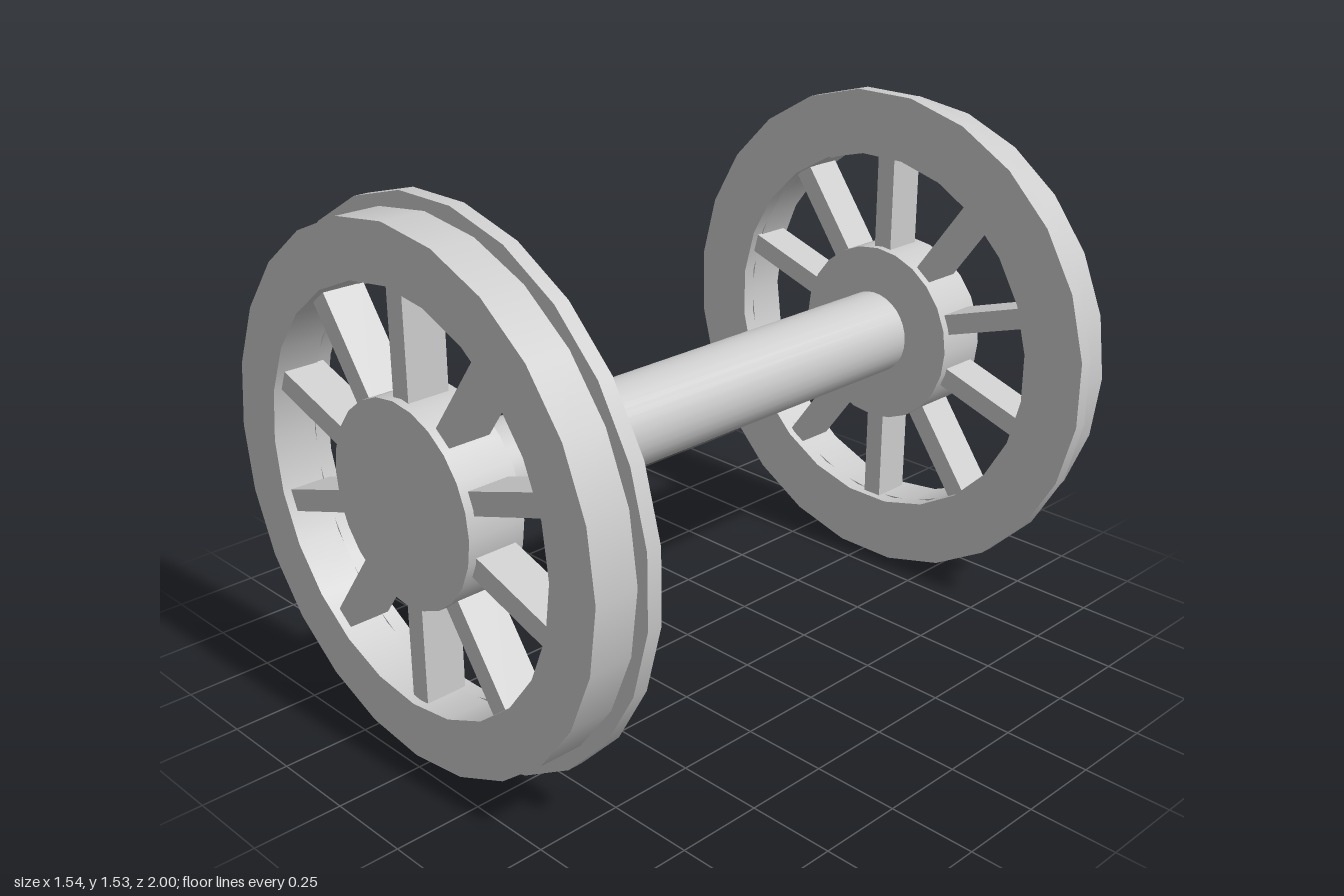
import * as THREE from 'three';
import { mergeGeometries } from 'three/addons/utils/BufferGeometryUtils.js';

const SIDES = 24;
const CENTRE_Y = 0.767;

// Turned solid about z from a closed [radius, z] profile, with sharp edges between its bands
function turned(profile, phase = 0) {
  const bands = profile.map((p, i) => {
    const q = profile[(i + 1) % profile.length];
    return new THREE.LatheGeometry(
      [new THREE.Vector2(...p), new THREE.Vector2(...q)], SIDES, phase);
  });
  return mergeGeometries(bands).rotateX(Math.PI / 2);
}

const ring = (inner, outer, z0, z1, phase) =>
  turned([[inner, z0], [outer, z0], [outer, z1], [inner, z1]], phase);

export function createModel() {
  const steel = new THREE.MeshStandardMaterial({ color: 0xcccccc });
  steel.name = 'steel grey';
  const model = new THREE.Group();
  model.name = 'wheelset';

  const add = (parent, name, geometry) => {
    const mesh = new THREE.Mesh(geometry, steel);
    mesh.name = name;
    parent.add(mesh);
    return mesh;
  };

  // Shared wheel parts, with the outer face at z = 1
  const tread = ring(0.574, 0.733, 0.873, 1);
  const flange = ring(0.574, 0.772, 0.83, 0.873, Math.PI / SIDES);
  const hub = new THREE.CylinderGeometry(0.28, 0.28, 0.17, SIDES)
    .rotateX(Math.PI / 2).translate(0, 0, 0.915);
  const spoke = new THREE.BoxGeometry(0.062, 0.33, 0.122).translate(0, 0.425, 0.915);

  // Front and back wheels, turned to face away from each other
  for (const [name, turn, x] of [['frontWheel', 0, -0.007], ['backWheel', Math.PI, 0.003]]) {
    const wheel = new THREE.Group();
    wheel.name = name;
    wheel.position.set(x, CENTRE_Y, 0);
    wheel.rotation.y = turn;
    add(wheel, 'tread', tread);
    add(wheel, 'flange', flange);
    add(wheel, 'hub', hub);
    for (let i = 0; i < 10; i++) {
      add(wheel, 'spoke', spoke).rotation.z = (i * Math.PI) / 5;
    }
    model.add(wheel);
  }

  // Axle joining the hubs
  const axle = add(model, 'axle', new THREE.CylinderGeometry(0.131, 0.131, 1.7, 32).rotateX(Math.PI / 2));
  axle.position.set(-0.004, CENTRE_Y + 0.002, 0);

  return model;
}
